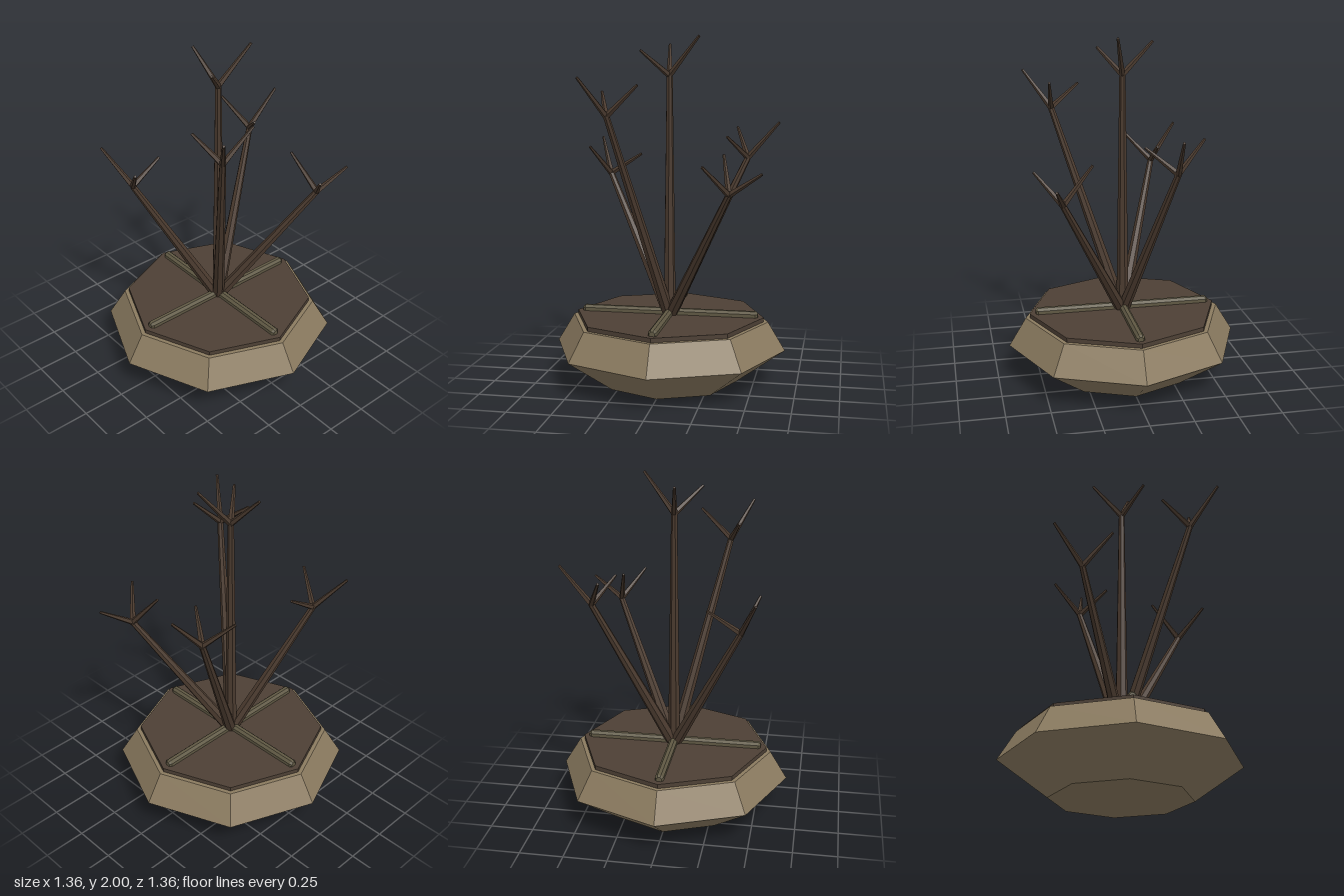
import * as THREE from 'three';

const material = (color) => new THREE.MeshStandardMaterial({ color, flatShading: true });
const V = (p) => new THREE.Vector3(...p);

function addMesh(parent, name, geometry, mat) {
  const mesh = new THREE.Mesh(geometry, mat);
  mesh.name = name;
  parent.add(mesh);
  return mesh;
}

// Solid of revolution from [radius, height] pairs, listed bottom to top
const turned = (points, sides) =>
  new THREE.LatheGeometry(points.map(([r, y]) => new THREE.Vector2(r, y)), sides);

// Tapered faceted rod between two points
function addRod(parent, name, from, to, r0, r1, sides, mat) {
  const a = V(from), b = V(to), dir = b.clone().sub(a);
  const rod = addMesh(parent, name, new THREE.CylinderGeometry(r1, r0, dir.length(), sides), mat);
  rod.position.copy(a).add(b).multiplyScalar(0.5);
  rod.quaternion.setFromUnitVectors(new THREE.Vector3(0, 1, 0), dir.normalize());
}

export function createModel() {
  const model = new THREE.Group();
  model.name = 'pottedBranches';
  const clay = material(0x8b7b60);
  const earth = material(0x4d4035);
  const slat = material(0x5f5843);
  const bark = material(0x4a3a2e);

  // Octagonal pot with a wide waist
  addMesh(model, 'pot', turned([[0, 0], [0.4, 0], [0.68, 0.2], [0.58, 0.365], [0, 0.365]], 8), clay);

  // Soil slab
  const soil = addMesh(model, 'soil', new THREE.CylinderGeometry(0.555, 0.555, 0.04, 8), earth);
  soil.position.y = 0.37;

  // Crossed bars with chamfered ends, half sunk in the soil
  const barProfile = [[0, -0.52], [0.016, -0.52], [0.026, -0.507], [0.026, 0.507], [0.016, 0.52], [0, 0.52]];
  for (const turn of [0, Math.PI / 2]) {
    const holder = new THREE.Group();
    holder.name = 'crossBar';
    holder.position.y = 0.4;
    holder.rotation.y = turn;
    const bar = addMesh(holder, 'bar', turned(barProfile, 8).rotateY(Math.PI / 8), slat);
    bar.rotation.z = Math.PI / 2;
    model.add(holder);
  }

  // Branches: fork point followed by the three twig tips
  const branches = [
    [[0, 1.78, 0], [-0.03, 1.96, -0.18], [0.18, 2, 0.06], [-0.145, 1.92, 0.12]],
    [[-0.41, 1.19, -0.26], [-0.5, 1.4, -0.425], [-0.22, 1.31, -0.26], [-0.5, 1.36, -0.1]],
    [[0.43, 1.3, -0.22], [0.35, 1.47, -0.385], [0.615, 1.51, -0.2], [0.325, 1.43, -0.06]],
    [[-0.28, 1.56, 0.37], [-0.345, 1.69, 0.2], [-0.1, 1.73, 0.4], [-0.4, 1.77, 0.52]],
    [[0.395, 1.15, 0.4], [0.345, 1.35, 0.23], [0.575, 1.27, 0.455], [0.27, 1.31, 0.54]],
  ];
  for (const [fork, ...tips] of branches) {
    const branch = new THREE.Group();
    branch.name = 'branch';
    model.add(branch);
    addRod(branch, 'stem', [0, 0.37, 0], fork, 0.037, 0.018, 7, bark);
    for (const tip of tips) addRod(branch, 'twig', fork, tip, 0.018, 0.008, 5, bark);
  }

  return model;
}
